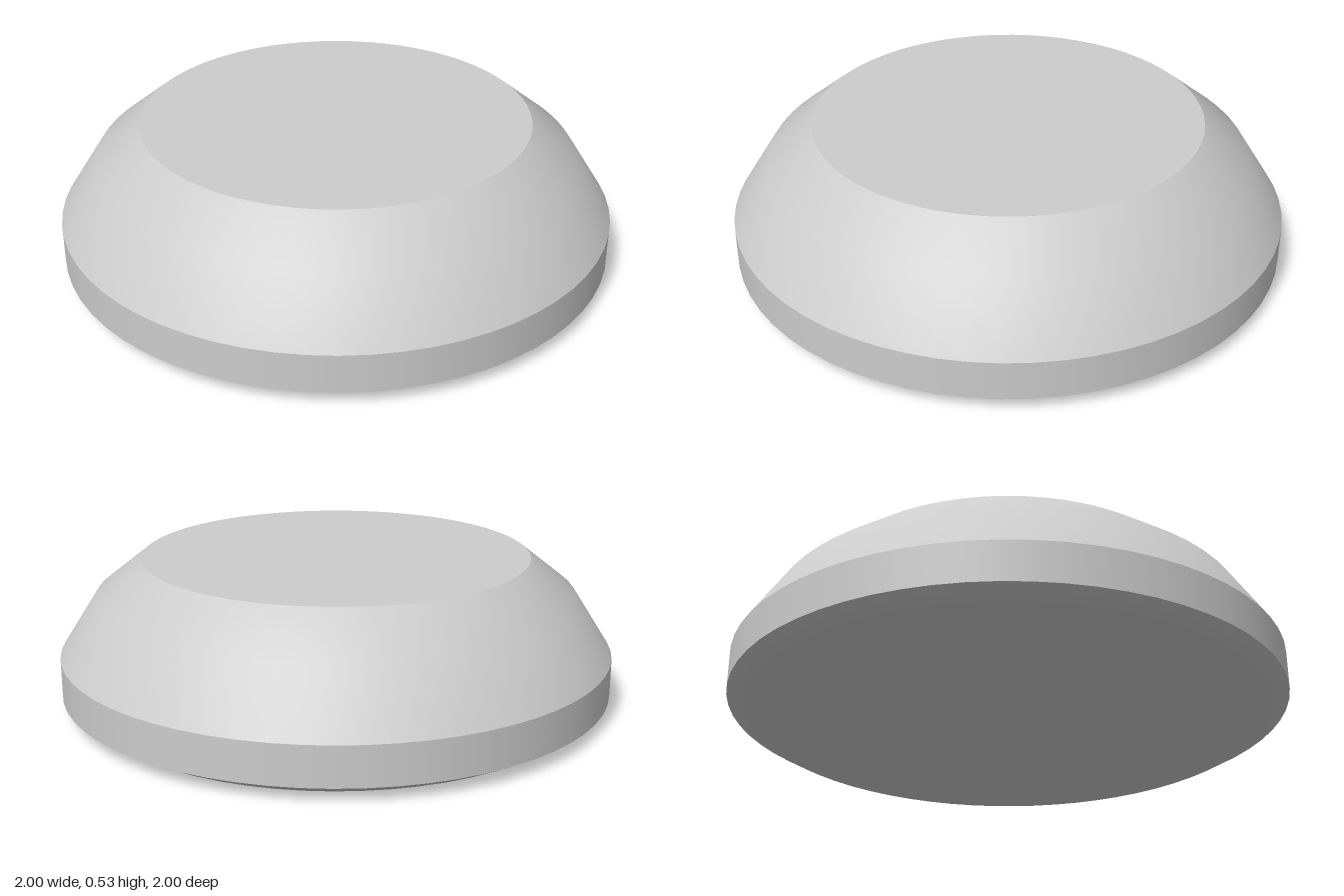
import * as THREE from 'three';

const SEGMENTS = 64;

export function createModel() {
  const group = new THREE.Group();
  group.name = 'roundFoot';
  const grey = new THREE.MeshStandardMaterial({ color: 0xcccccc });
  grey.name = 'light grey';

  // Each section is smooth within itself and meets the next at a crease.
  // Profiles are [radius, height], running from the bottom axis to the top axis.
  const sections = {
    underside: [[0, 0], [0.92, 0.005], [1, 0.05]],
    rimBand: [[1, 0.05], [1, 0.19]],
    slopedShoulder: [[1, 0.19], [0.865, 0.4], [0.7, 0.53]],
    flatTop: [[0.7, 0.53], [0, 0.53]],
  };

  for (const [name, profile] of Object.entries(sections)) {
    const points = profile.map(([r, y]) => new THREE.Vector2(r, y));
    const mesh = new THREE.Mesh(new THREE.LatheGeometry(points, SEGMENTS), grey);
    mesh.name = name;
    group.add(mesh);
  }
  return group;
}
